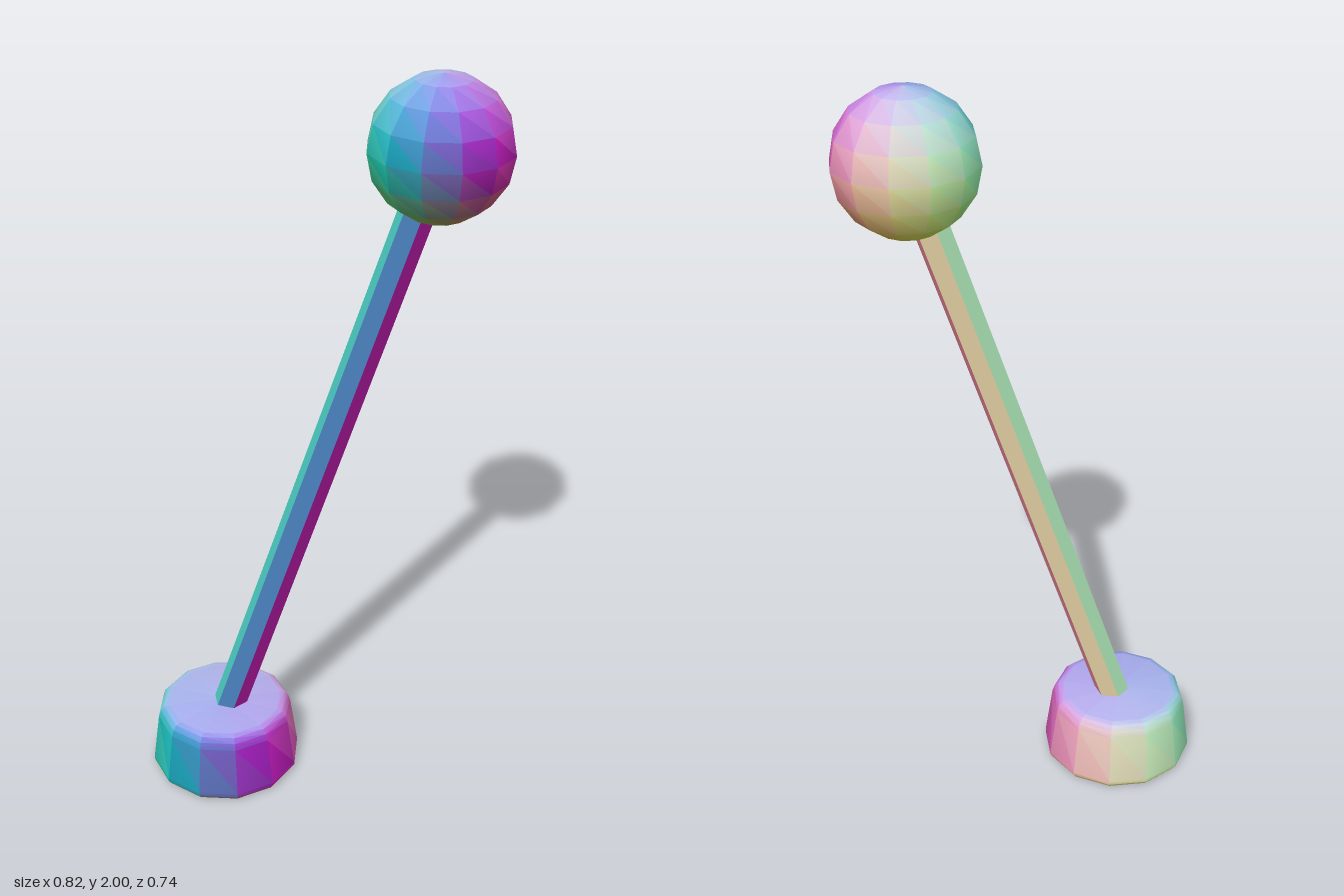
import * as THREE from 'three';
import { toCreasedNormals } from 'three/addons/utils/BufferGeometryUtils.js';

// Colour for the direction a facet faces: right is red, back green, up blue
function facetColor(n) {
  const tint = (v) => 0.85 * (0.5 + 0.5 * v);
  return new THREE.Color().setRGB(tint(n.x), tint(-n.z), tint(n.y));
}

// Mesh with one coloured material per facet direction
function tintedMesh(name, source, crease) {
  const geometry = toCreasedNormals(source, crease);
  const normals = geometry.attributes.normal;
  const materials = [];
  const known = new Map();
  const vertexNormal = new THREE.Vector3();
  geometry.clearGroups();
  for (let i = 0; i < normals.count; i += 3) {
    const facing = new THREE.Vector3();
    for (let k = 0; k < 3; k++) facing.add(vertexNormal.fromBufferAttribute(normals, i + k));
    const color = facetColor(facing.normalize());
    const key = color.getHex();
    if (!known.has(key)) {
      known.set(key, materials.length);
      materials.push(new THREE.MeshStandardMaterial({ color }));
    }
    geometry.addGroup(i, 3, known.get(key));
  }
  const mesh = new THREE.Mesh(geometry, materials);
  mesh.name = name;
  return mesh;
}

export function createModel() {
  const group = new THREE.Group();

  // Tapered twelve-sided foot with a rounded upper rim
  const profile = [
    [0, 0], [0.199, 0], [0.208, 0.012], [0.208, 0.022],
    [0.189, 0.165], [0.183, 0.184], [0.172, 0.196], [0.157, 0.2], [0, 0.2],
  ].map(([r, y]) => new THREE.Vector2(r, y));
  const base = tintedMesh('base', new THREE.LatheGeometry(profile, 12), 0.75);
  base.position.set(-0.201, 0, -0.161);

  // Ball at the top of the lever
  const top = new THREE.Vector3(0.228, 1.82, 0.187);
  const knob = tintedMesh('knob', new THREE.SphereGeometry(0.18, 12, 8), 0.75);
  knob.position.copy(top);

  // Hexagonal rod leaning from the base into the knob
  const bottom = new THREE.Vector3(-0.2, 0.15, -0.159);
  const axis = top.clone().sub(bottom);
  const lean = new THREE.Quaternion().setFromUnitVectors(
    new THREE.Vector3(0, 1, 0), axis.clone().normalize());
  const hexagon = new THREE.CylinderGeometry(0.046, 0.046, axis.length(), 6, 1, false, Math.PI / 6);
  const rod = tintedMesh('rod', hexagon.applyQuaternion(lean), 0.5);
  rod.position.copy(bottom).lerp(top, 0.5);

  group.add(base, knob, rod);
  return group;
}
